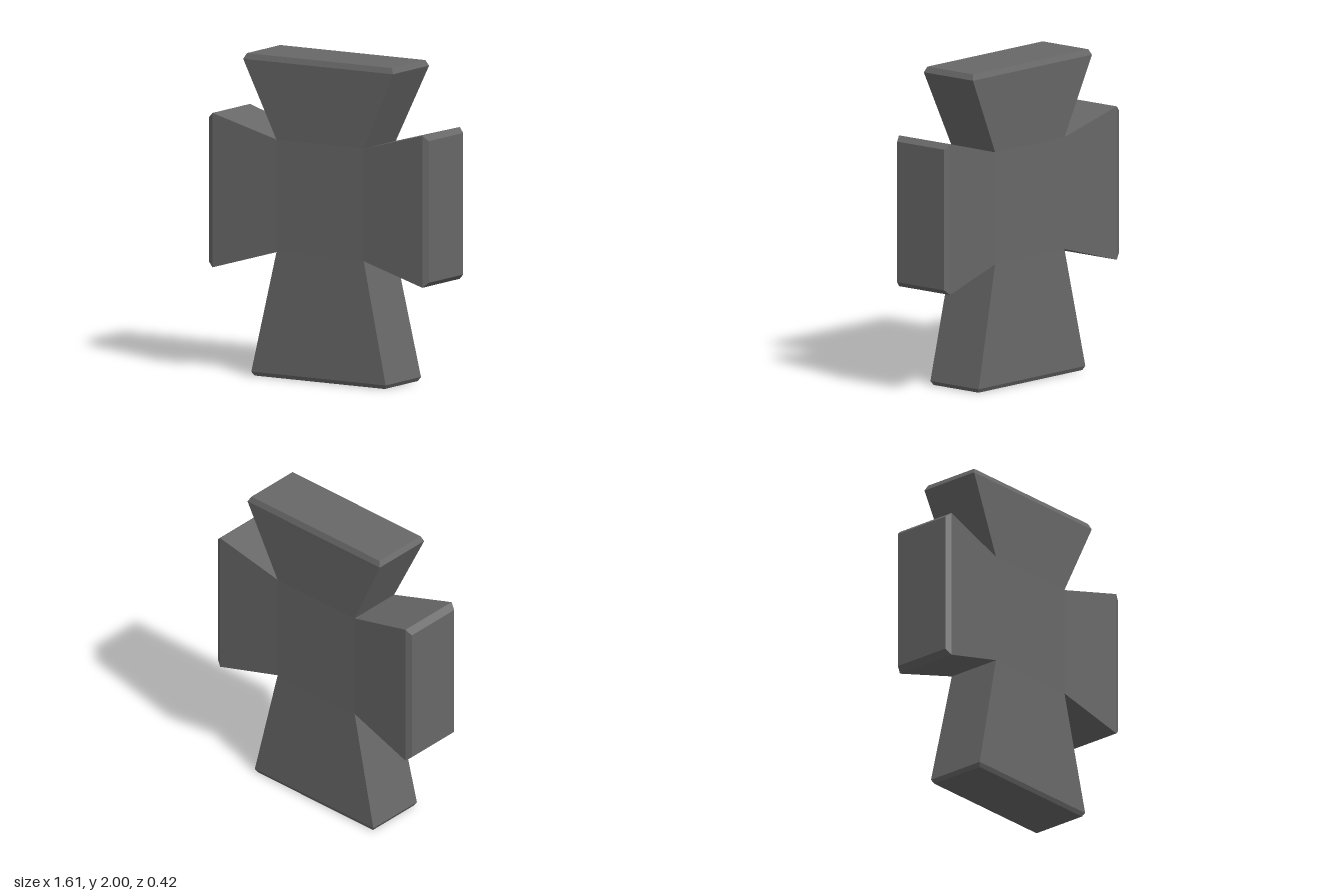
import * as THREE from 'three';

const CENTRE_Y = 1.13, HALF_W = 0.32, HALF_H = 0.35, HALF_D = 0.18;

// Flared arm growing along +y, lofted through rectangles [distance, halfWidth, halfDepth]; open at its root
function armGeometry(sections) {
  const rings = sections.map(([y, w, d]) => [[w, y, d], [w, y, -d], [-w, y, -d], [-w, y, d]]);
  const points = [];
  const quad = (a, b, c, d) => points.push(...a, ...b, ...c, ...a, ...c, ...d);
  for (let i = 0; i < rings.length - 1; i++) {
    for (let k = 0; k < 4; k++) {
      const n = (k + 1) % 4;
      quad(rings[i][k], rings[i][n], rings[i + 1][n], rings[i + 1][k]);
    }
  }
  quad(...rings[rings.length - 1]);
  const geometry = new THREE.BufferGeometry();
  geometry.setAttribute('position', new THREE.Float32BufferAttribute(points, 3));
  geometry.computeVertexNormals();
  return geometry;
}

export function createModel() {
  const group = new THREE.Group();
  const stone = new THREE.MeshStandardMaterial({ color: 0x686868 });
  stone.name = 'darkGrey';

  // Arms: root, widest point, bevelled tip
  const arms = [
    ['topArm', 0, [[HALF_H, HALF_W, HALF_D], [0.835, 0.55, 0.202], [0.87, 0.532, 0.187]]],
    ['bottomArm', Math.PI, [[HALF_H, HALF_W, HALF_D], [1.105, 0.493, 0.198], [1.13, 0.478, 0.185]]],
    ['leftArm', -Math.PI / 2, [[HALF_W, HALF_H, HALF_D], [0.77, 0.472, 0.21], [0.806, 0.44, 0.193]]],
    ['rightArm', Math.PI / 2, [[HALF_W, HALF_H, HALF_D], [0.77, 0.48, 0.21], [0.808, 0.447, 0.193]]],
  ];
  for (const [name, angle, sections] of arms) {
    const arm = new THREE.Mesh(armGeometry(sections), stone);
    arm.name = name;
    arm.position.y = CENTRE_Y;
    arm.rotation.z = angle;
    group.add(arm);
  }

  // Flat centre panels joining the four arms
  for (const side of [1, -1]) {
    const panel = new THREE.Mesh(new THREE.PlaneGeometry(2 * HALF_W, 2 * HALF_H), stone);
    panel.name = side > 0 ? 'frontCentre' : 'backCentre';
    panel.position.set(0, CENTRE_Y, side * HALF_D);
    if (side < 0) panel.rotation.y = Math.PI;
    group.add(panel);
  }
  return group;
}
